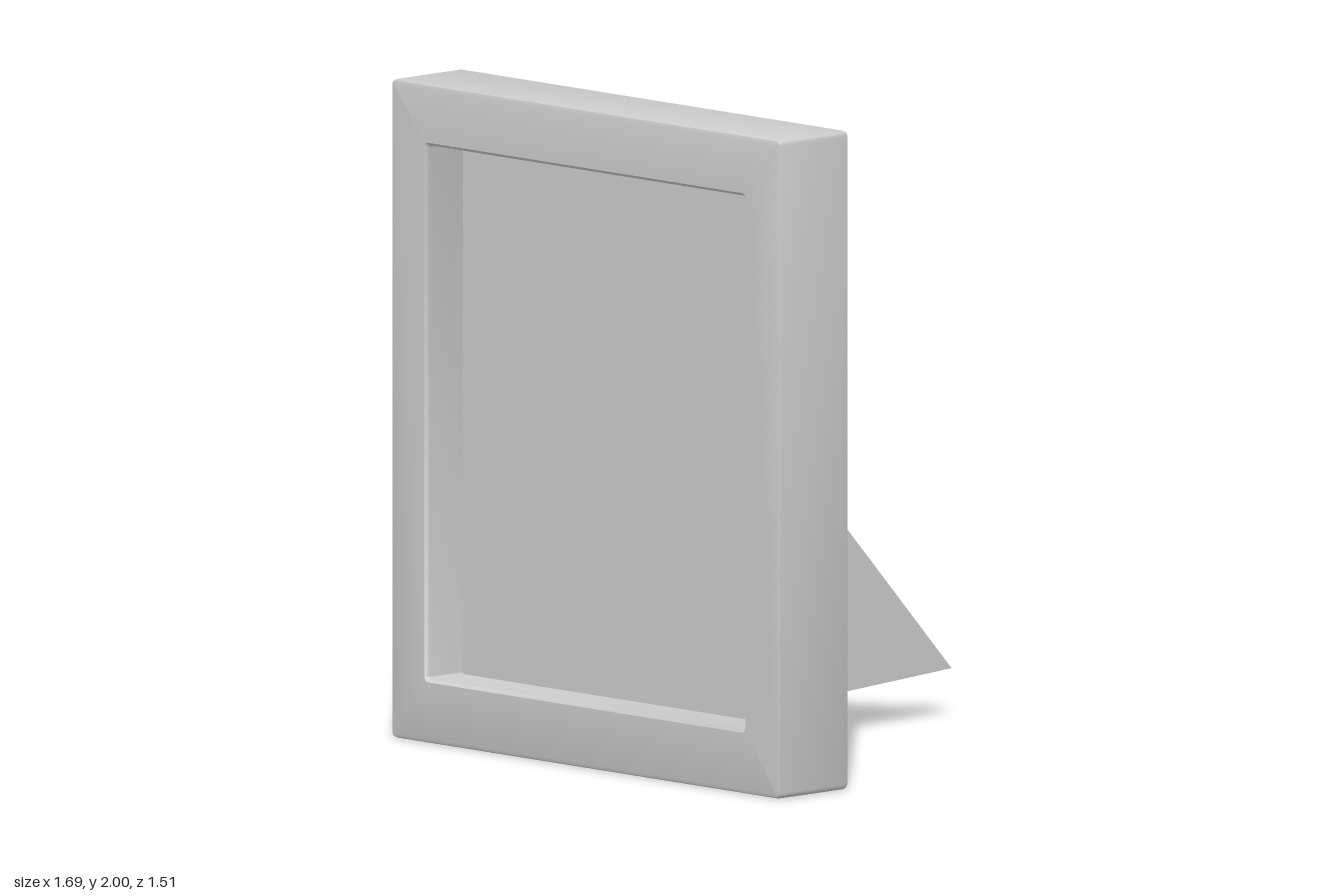
import * as THREE from 'three';
import { toCreasedNormals } from 'three/addons/utils/BufferGeometryUtils.js';

const material = new THREE.MeshStandardMaterial({ color: 0xcccccc });

// Points of a rounded rectangle, counter-clockwise seen from the front
function rectRing({ w, h, r, z, cy = 1 }, steps = 3) {
  const points = [];
  [[1, 1], [-1, 1], [-1, -1], [1, -1]].forEach(([sx, sy], corner) => {
    for (let i = 0; i <= steps; i++) {
      const a = (corner + i / steps) * Math.PI / 2;
      points.push([sx * (w - r) + r * Math.cos(a), cy + sy * (h - r) + r * Math.sin(a), z]);
    }
  });
  return points;
}

// Joins successive rings with triangles
function loft(rings) {
  const positions = [];
  const n = rings[0].length;
  for (let k = 0; k < rings.length - 1; k++) {
    for (let i = 0; i < n; i++) {
      const j = (i + 1) % n;
      const [a, b, c, d] = [rings[k][i], rings[k][j], rings[k + 1][j], rings[k + 1][i]];
      positions.push(...a, ...b, ...c, ...a, ...c, ...d);
    }
  }
  const geometry = new THREE.BufferGeometry();
  geometry.setAttribute('position', new THREE.Float32BufferAttribute(positions, 3));
  geometry.computeVertexNormals();
  return geometry;
}

function addMesh(group, name, geometry) {
  const mesh = new THREE.Mesh(geometry, material);
  mesh.name = name;
  group.add(mesh);
  return mesh;
}

export function createModel() {
  const group = new THREE.Group();
  group.name = 'pictureFrame';

  // Frame body: closed back, softened rim, recessed opening in front
  const back = 0.465, front = 0.755, floor = 0.605, bevel = 0.014;
  const sections = [
    { w: 0, h: 0, r: 0, z: back },
    { w: 0.845 - bevel, h: 1 - bevel, r: 0.006, z: back },
    { w: 0.841, h: 0.996, r: 0.014, z: back + 0.004 },
    { w: 0.845, h: 1, r: 0.018, z: back + bevel },
    { w: 0.845, h: 1, r: 0.018, z: front - bevel },
    { w: 0.841, h: 0.996, r: 0.014, z: front - 0.004 },
    { w: 0.845 - bevel, h: 1 - bevel, r: 0.006, z: front },
    { w: 0.697, h: 0.819, r: 0.014, z: front, cy: 1.004 },
    { w: 0.688, h: 0.81, r: 0.008, z: front - 0.01, cy: 1.004 },
    { w: 0.688, h: 0.81, r: 0.008, z: floor, cy: 1.004 },
    { w: 0, h: 0, r: 0, z: floor, cy: 1.004 },
  ];
  addMesh(group, 'frame', toCreasedNormals(loft(sections.map((s) => rectRing(s))), 0.6));

  // Picture panel, lying slightly off-centre in the recess
  const panel = addMesh(group, 'picturePanel', new THREE.BoxGeometry(1.353, 1.609, 0.014));
  panel.position.set(0.0115, 1.0095, floor + 0.007);

  // Rear strut: a thin, slightly skewed board; corners are [centre x, y, z]
  const corners = [
    [0.015, 1.435, 0.467], [0.04, 1.04, 0.467], [0.003, 0.12, -0.18], [-0.025, 0.145, -0.755],
  ];
  const middle = [0.008, 0.685, 0];
  const side = (offset) => corners.map(([x, y, z]) => [x + offset, y, z]);
  const cap = (offset) => corners.map(() => [middle[0] + offset, middle[1], middle[2]]);
  const strut = loft([cap(0.035), side(0.035), side(-0.035), cap(-0.035)]);
  // Order of the corners must face outwards
  const p = strut.attributes.position;
  const a = new THREE.Vector3().fromBufferAttribute(p, 0);
  const b = new THREE.Vector3().fromBufferAttribute(p, 4);
  const c = new THREE.Vector3().fromBufferAttribute(p, 5);
  if (b.sub(a).cross(c.sub(a)).x < 0) {
    for (let i = 0; i < p.count; i += 3) {
      const u = new THREE.Vector3().fromBufferAttribute(p, i + 1);
      const v = new THREE.Vector3().fromBufferAttribute(p, i + 2);
      p.setXYZ(i + 1, v.x, v.y, v.z);
      p.setXYZ(i + 2, u.x, u.y, u.z);
    }
    strut.computeVertexNormals();
  }
  addMesh(group, 'strut', strut);

  return group;
}
